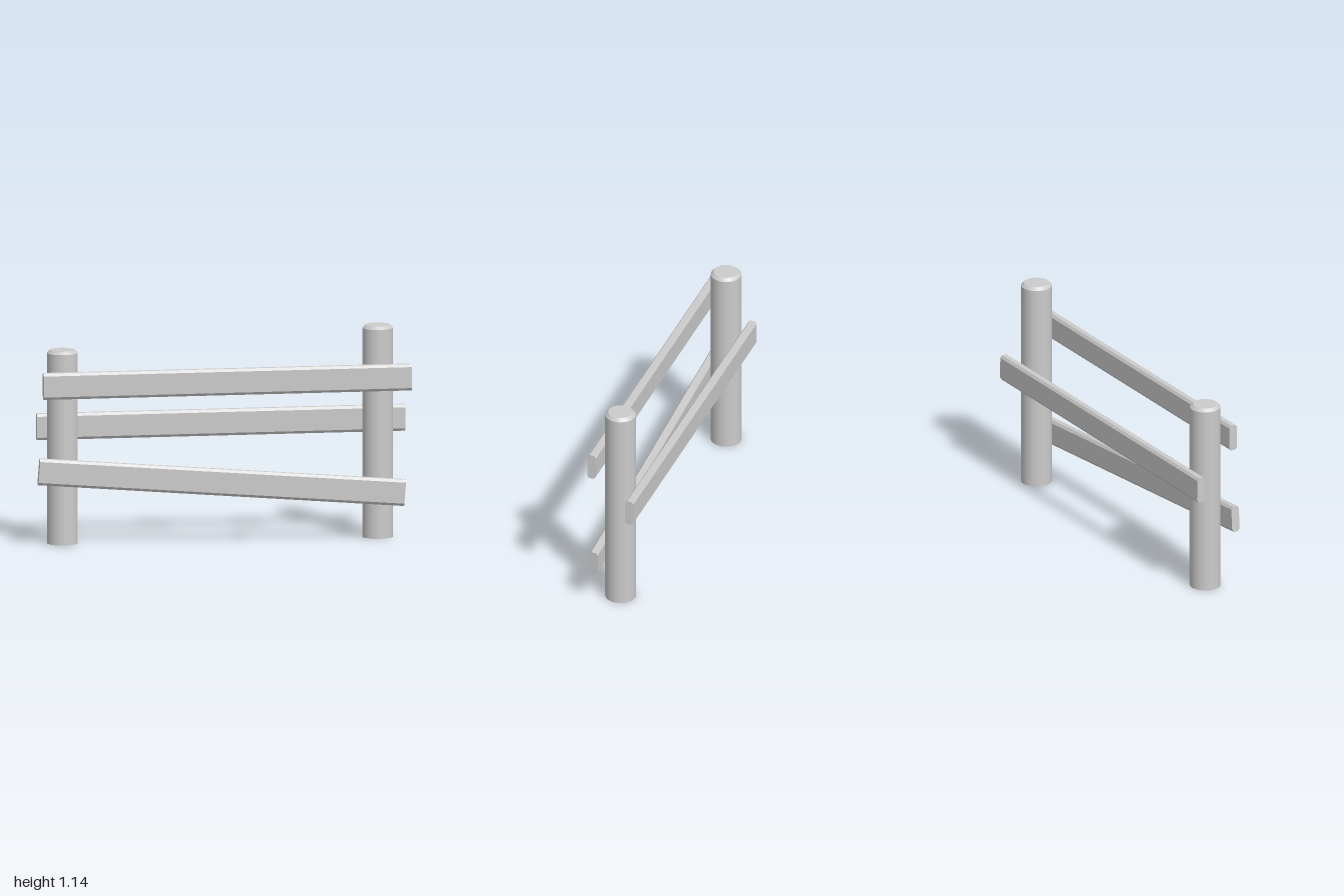
import * as THREE from 'three';

const material = new THREE.MeshStandardMaterial({ color: 0xcccccc, side: THREE.DoubleSide });
const flatMaterial = new THREE.MeshStandardMaterial({ color: 0xcccccc, flatShading: true });

// Round post with a bevelled top, open underneath
function makePost(name, x, height) {
  const r = 0.082, topR = 0.066, bevel = 0.016;
  const post = new THREE.Group();
  post.name = name;
  const side = new THREE.CylinderGeometry(r, r, height - bevel, 32, 1, true);
  side.translate(0, (height - bevel) / 2, 0);
  const rim = new THREE.CylinderGeometry(topR, r, bevel, 32, 1, true);
  rim.translate(0, height - bevel / 2, 0);
  const cap = new THREE.CircleGeometry(topR, 32);
  cap.rotateX(-Math.PI / 2).translate(0, height, 0);
  [['shaft', side], ['bevel', rim], ['cap', cap]].forEach(([part, geometry]) => {
    const mesh = new THREE.Mesh(geometry, material);
    mesh.name = part;
    post.add(mesh);
  });
  post.position.x = x;
  return post;
}

// Plank with chamfered long edges, running along x
function makeRail(name, x, y, z, length, angle) {
  const h = 0.0705, d = 0.0235, cy = 0.014, cz = 0.01;
  const section = new THREE.Shape([
    [d, -h + cy], [d, h - cy], [d - cz, h], [-d + cz, h],
    [-d, h - cy], [-d, -h + cy], [-d + cz, -h], [d - cz, -h],
  ].map(([a, b]) => new THREE.Vector2(a, b)));
  const geometry = new THREE.ExtrudeGeometry(section, { depth: length, bevelEnabled: false });
  geometry.translate(0, 0, -length / 2).rotateY(Math.PI / 2);
  const rail = new THREE.Mesh(geometry, flatMaterial);
  rail.name = name;
  rail.position.set(x, y, z);
  rail.rotation.z = angle;
  return rail;
}

export function createModel() {
  const fence = new THREE.Group();
  fence.name = 'fence';
  fence.add(
    makePost('rightPost', -0.855, 1.04),
    makePost('leftPost', 0.832, 1.14),
    makeRail('topRail', 0.015, 0.867, 0.104, 1.97, 0.005),
    makeRail('middleRail', 0.005, 0.616, -0.104, 1.97, 0.005),
    makeRail('bottomRail', -0.015, 0.327, 0.104, 1.963, -0.078),
  );
  return fence;
}
